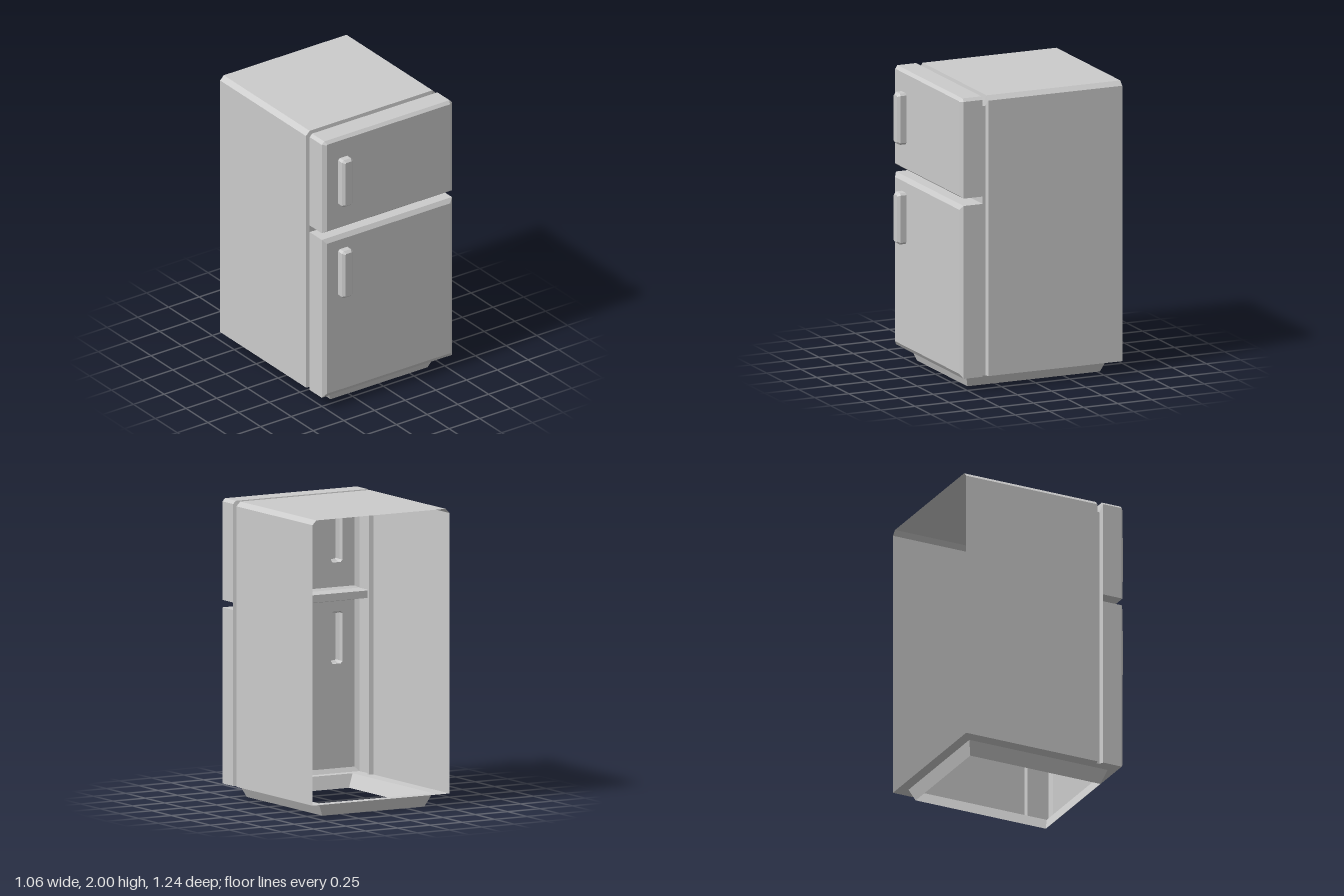
import * as THREE from 'three';

const material = new THREE.MeshStandardMaterial({ color: 0xcccccc, flatShading: true, side: THREE.DoubleSide });

const FLOOR = 0.09;

// Skin between matching cross-sections [points, z]; points run counter-clockwise seen from +z
function loft(sections, closed) {
  const pos = [];
  for (let k = 0; k + 1 < sections.length; k++) {
    const [p, z0] = sections[k];
    const [q, z1] = sections[k + 1];
    const count = closed ? p.length : p.length - 1;
    for (let i = 0; i < count; i++) {
      const j = (i + 1) % p.length;
      const a = [...p[i], z0], b = [...p[j], z0], c = [...q[j], z1], d = [...q[i], z1];
      pos.push(...a, ...b, ...c, ...a, ...c, ...d);
    }
  }
  const geometry = new THREE.BufferGeometry();
  geometry.setAttribute('position', new THREE.Float32BufferAttribute(pos, 3));
  geometry.computeVertexNormals();
  return geometry;
}

const toVectors = (pts) => pts.map(([x, y]) => new THREE.Vector2(x, y));

function flat(pts, holes = []) {
  const shape = new THREE.Shape(toVectors(pts));
  for (const hole of holes) shape.holes.push(new THREE.Path(toVectors(hole)));
  return new THREE.ShapeGeometry(shape);
}

function add(parent, name, geometry) {
  const mesh = new THREE.Mesh(geometry, material);
  mesh.name = name;
  parent.add(mesh);
  return mesh;
}

// Upright section with its two top corners cut by c
const arch = (w, bottom, top, c) => [
  [w, bottom], [w, top - c], [w - c, top], [c - w, top], [-w, top - c], [-w, bottom],
];

const rect = (w, bottom, top) => [[w, bottom], [w, top], [-w, top], [-w, bottom]];

// Tall octagon for the handles
const octagon = (x, y, w, h, c) => [
  [x + w, y - h + c], [x + w, y + h - c], [x + w - c, y + h], [x - w + c, y + h],
  [x - w, y + h - c], [x - w, y - h + c], [x - w + c, y - h], [x + w - c, y - h],
];

// Hollow bar handle; returns its footprint so the door can open into it
function addHandle(parent, y) {
  const foot = octagon(-0.367, y, 0.044, 0.175, 0.014);
  const front = octagon(-0.367, y, 0.027, 0.16, 0.006);
  const handle = new THREE.Group();
  handle.name = 'handle';
  add(handle, 'handleSides', loft([[foot, 0.56], [foot, 0.602], [front, 0.62]], true));
  add(handle, 'handleFront', flat(front)).position.z = 0.62;
  parent.add(handle);
  return foot;
}

export function createModel() {
  const model = new THREE.Group();
  model.name = 'refrigerator';

  // Cabinet walls and roof, open at the back, with the seal groove at the front
  const outer = arch(0.53, FLOOR, 2, 0.03);
  const groove = arch(0.5, FLOOR, 1.95, 0.02);
  const doorBack = arch(0.53, FLOOR, 2, 0.02);
  add(model, 'cabinet', loft([[outer, -0.62], [outer, 0.36]], false));
  add(model, 'sealGroove', loft([[outer, 0.36], [groove, 0.368], [groove, 0.388], [doorBack, 0.402]], false));

  // Floor frame, opening into the base
  const side = [[0.53, -0.62], [0.53, 0.36], [0.5, 0.368], [0.5, 0.388], [0.53, 0.402], [0.53, 0.54]];
  const mirrored = side.map(([x, z]) => [-x, z]).reverse();
  const opening = [[0.44, -0.55], [0.44, 0.48], [-0.44, 0.48], [-0.44, -0.55]];
  const floor = flat([...side, ...mirrored], [opening]);
  floor.rotateX(Math.PI / 2);
  add(model, 'floorFrame', floor).position.y = FLOOR;

  // Tapered base, open at the bottom
  const baseRing = (x, back, front) => [[x, -front], [x, -back], [-x, -back], [-x, -front]];
  const base = loft([[baseRing(0.395, -0.52, 0.45), 0], [baseRing(0.44, -0.55, 0.48), FLOOR]], true);
  base.rotateX(-Math.PI / 2);
  add(model, 'base', base);

  // Strip at the back of the gap between the doors
  add(model, 'doorDivider', flat(rect(0.53, 1.27, 1.32))).position.z = 0.402;

  // Upper door
  const upper = new THREE.Group();
  upper.name = 'upperDoor';
  const upperRim = arch(0.53, 1.32, 2, 0.02);
  const upperFace = arch(0.503, 1.335, 1.98, 0.004);
  const upperHole = addHandle(upper, 1.675);
  add(upper, 'upperDoorSides', loft([[upperRim, 0.402], [upperRim, 0.54], [upperFace, 0.56]], true));
  add(upper, 'upperDoorFront', flat(upperFace, [upperHole])).position.z = 0.56;
  model.add(upper);

  // Lower door; the floor frame closes its underside
  const lower = new THREE.Group();
  lower.name = 'lowerDoor';
  const lowerRim = rect(0.53, FLOOR, 1.27);
  const lowerFace = rect(0.503, 0.12, 1.24);
  const lowerHole = addHandle(lower, 0.995);
  add(lower, 'lowerDoorSides', loft([[lowerRim, 0.402], [lowerRim, 0.54]], false));
  add(lower, 'lowerDoorBevel', loft([[lowerRim, 0.54], [lowerFace, 0.56]], true));
  add(lower, 'lowerDoorFront', flat(lowerFace, [lowerHole])).position.z = 0.56;
  model.add(lower);

  return model;
}
